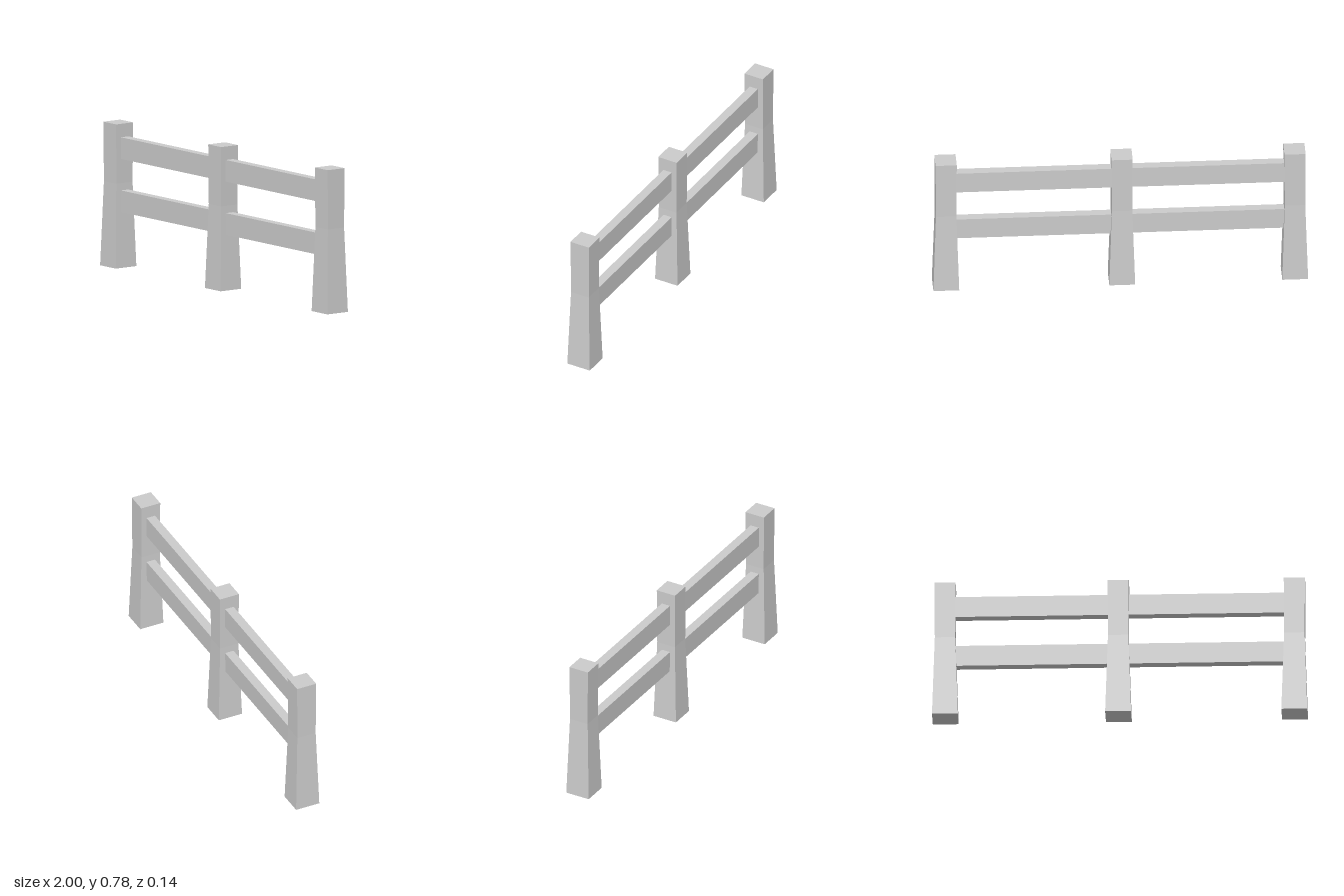
import * as THREE from 'three';

const material = new THREE.MeshStandardMaterial({ color: 0xcccccc, flatShading: true });

const HEIGHT = 0.776;
const POST_X = [-0.931, -0.008, 0.931];
const RAIL_Y = [0.358, 0.645];

// Square post: wide foot, slight waist, almost straight upper half
function createPost() {
  const rings = [[0, 0.069], [0.455, 0.0545], [HEIGHT, 0.0565]]; // height, half width
  const geometry = new THREE.BoxGeometry(2, 2, 2, 1, 2, 1);
  const p = geometry.attributes.position;
  for (let i = 0; i < p.count; i++) {
    const [y, half] = rings[Math.round(p.getY(i)) + 1];
    p.setXYZ(i, p.getX(i) * half, y, p.getZ(i) * half);
  }
  geometry.computeVertexNormals();
  return new THREE.Mesh(geometry, material);
}

// Flat plank spanning two posts, its ends let slightly into them
function createRail(x0, x1, y) {
  const rail = new THREE.Mesh(new THREE.BoxGeometry(x1 - x0, 0.117, 0.05), material);
  rail.position.set((x0 + x1) / 2, y, 0);
  return rail;
}

export function createModel() {
  const fence = new THREE.Group();
  fence.name = 'fence';

  const postNames = ['rightPost', 'middlePost', 'leftPost'];
  POST_X.forEach((x, i) => {
    const post = createPost();
    post.name = postNames[i];
    post.position.x = x;
    fence.add(post);
  });

  // Two rails in each bay
  const inset = 0.052;
  ['right', 'left'].forEach((side, bay) => {
    RAIL_Y.forEach((y, row) => {
      const rail = createRail(POST_X[bay] + inset, POST_X[bay + 1] - inset, y);
      rail.name = side + (row ? 'UpperRail' : 'LowerRail');
      fence.add(rail);
    });
  });

  return fence;
}
